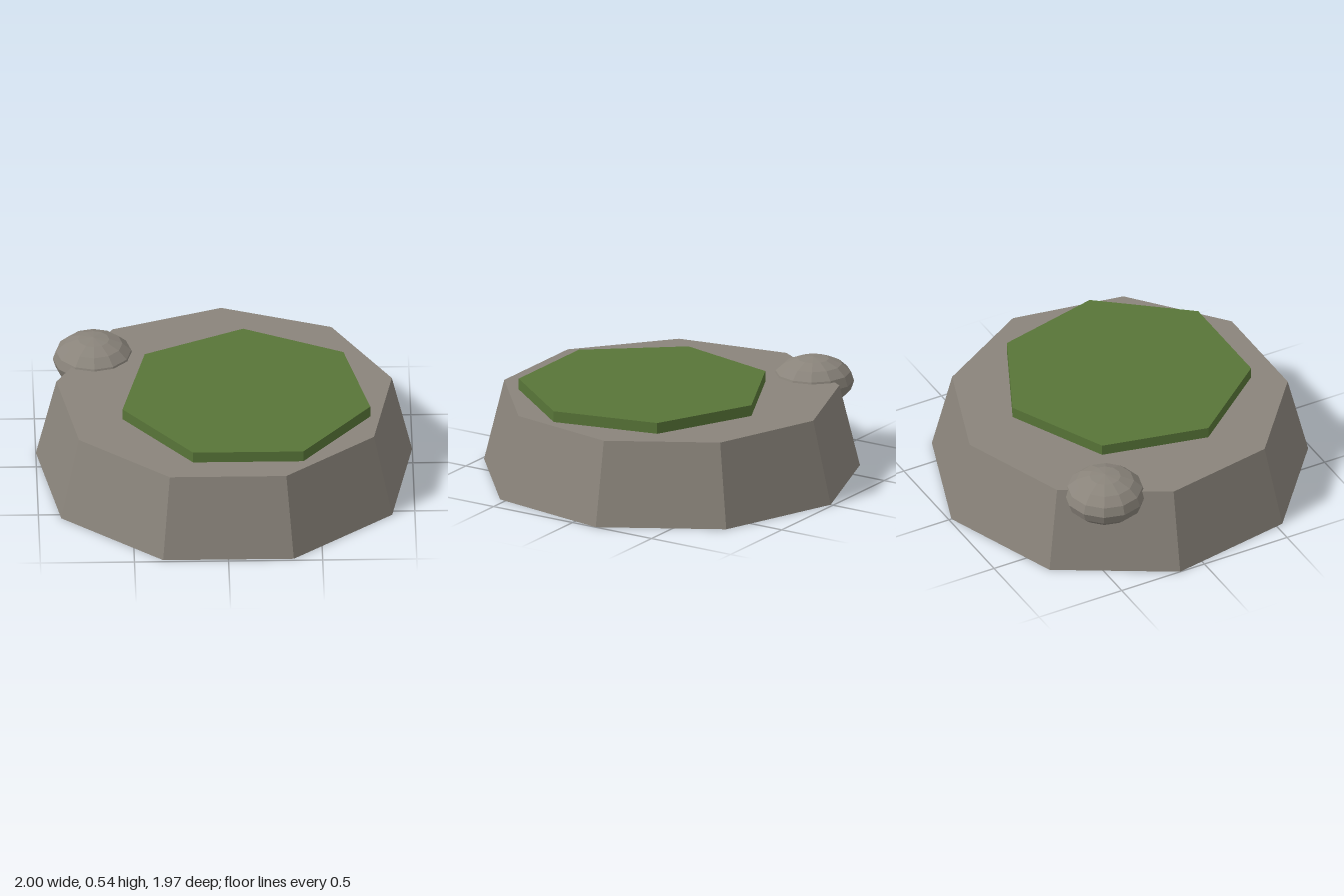
import * as THREE from 'three';

export function createModel() {
  const model = new THREE.Group();

  const paint = (name, color) => {
    const material = new THREE.MeshStandardMaterial({ color, flatShading: true });
    material.name = name;
    return material;
  };
  const stone = paint('stone grey', 0x8a847b);
  const grass = paint('grass green', 0x587538);

  const add = (name, geometry, material, x, y, z) => {
    const mesh = new THREE.Mesh(geometry, material);
    mesh.name = name;
    mesh.position.set(x, y, z);
    model.add(mesh);
    return mesh;
  };

  // Nine-sided tapered base with one corner pointing to the back
  const base = new THREE.CylinderGeometry(0.905, 1.015, 0.45, 9, 1, false, Math.PI);
  add('rockBase', base, stone, 0, 0.225, 0.03);

  // Seven-sided grass slab, set slightly into the base
  const slab = new THREE.CylinderGeometry(0.675, 0.675, 0.08, 7, 1, false, Math.PI);
  add('grassPatch', slab, grass, 0.11, 0.47, 0.12);

  // Flattened boulder sunk into the rim
  const boulder = new THREE.SphereGeometry(0.217, 12, 8);
  add('boulder', boulder, stone, -0.687, 0.41, -0.43).scale.y = 0.6;

  return model;
}
